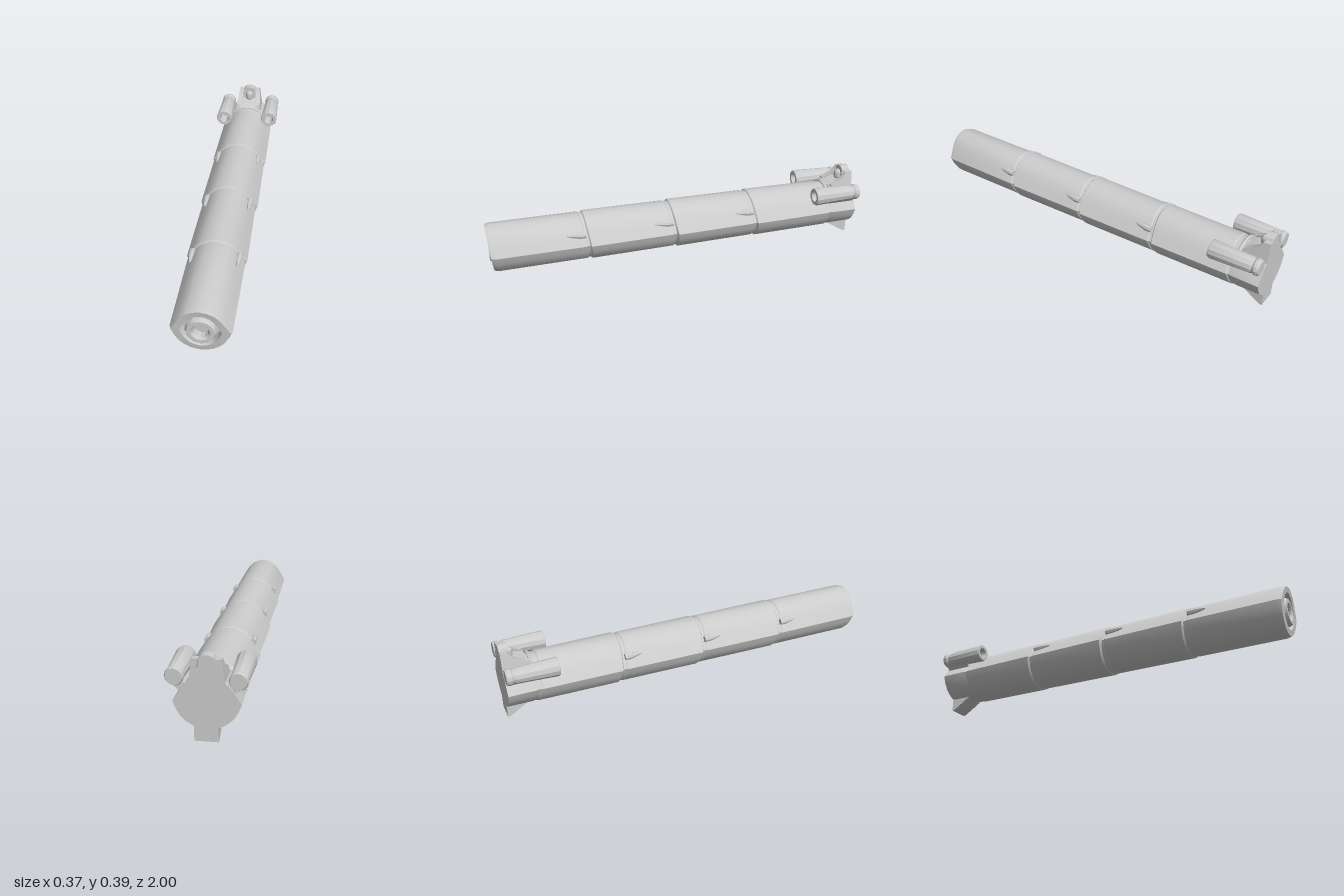
import * as THREE from 'three';
import { toCreasedNormals } from 'three/addons/utils/BufferGeometryUtils.js';

const CX = -0.005, CY = 0.178;

function addMesh(parent, geometry, name, crease = 0.5) {
  const material = new THREE.MeshStandardMaterial({ color: 0xcccccc });
  const mesh = new THREE.Mesh(toCreasedNormals(geometry, crease), material);
  mesh.name = name;
  parent.add(mesh);
  return mesh;
}

// Skin over closed rings ordered from back to front, counter-clockwise from +z, with end caps
function loft(rings) {
  const n = rings[0].length, pos = [];
  const tri = (...pts) => pts.forEach(p => pos.push(p.x, p.y, p.z));
  for (let i = 0; i < rings.length - 1; i++) {
    for (let j = 0; j < n; j++) {
      const k = (j + 1) % n;
      const a = rings[i][j], b = rings[i][k], c = rings[i + 1][k], d = rings[i + 1][j];
      tri(a, b, c);
      tri(a, c, d);
    }
  }
  const cap = (ring, flip) => {
    const mid = ring.reduce((s, p) => s.add(p), new THREE.Vector3()).divideScalar(n);
    for (let j = 0; j < n; j++) {
      const p = ring[j], q = ring[(j + 1) % n];
      if (flip) tri(mid, q, p); else tri(mid, p, q);
    }
  };
  cap(rings[0], true);
  cap(rings[rings.length - 1], false);
  const g = new THREE.BufferGeometry();
  g.setAttribute('position', new THREE.Float32BufferAttribute(pos, 3));
  return g;
}

// Barrel outline: round above and below with a ridge on each side
const half = [[0, 0.127], [0.036, 0.12], [0.07, 0.105], [0.1, 0.075], [0.124, 0.038], [0.147, 0],
  [0.132, -0.04], [0.112, -0.074], [0.086, -0.1], [0.056, -0.118], [0.028, -0.126], [0, -0.13]];
const outline = [...half.slice().reverse(), ...half.slice(1, -1).map(([x, y]) => [-x, y])];
const barrelRing = (z, sx, sy, slant) => outline.map(([x, y]) =>
  new THREE.Vector3(CX + x * sx, CY + y * sy, z + y * sy * slant));

// Solid turned around z; profile is [radius, z] from the back axis to the front axis
function turned(profile, sides) {
  const g = new THREE.LatheGeometry(profile.map(([r, z]) => new THREE.Vector2(r, z)), sides);
  return g.rotateX(Math.PI / 2);
}

// Upright plate outline in [z, y], extruded across x
function plate(points, width) {
  const shape = new THREE.Shape(points.map(([z, y]) => new THREE.Vector2(-z, y)));
  const g = new THREE.ExtrudeGeometry(shape, { depth: width, bevelEnabled: false });
  return g.translate(0, 0, -width / 2).rotateY(Math.PI / 2);
}

export function createModel() {
  const model = new THREE.Group();

  // Barrel: sleeves parted by slanted grooves, with a recess in the front face
  const rings = [barrelRing(-1, 1, 0.93, 0), barrelRing(-0.86, 0.99, 0.95, 0.14)];
  [[-0.845, 1.03], [-0.405, 1.03], [0.04, 1.0], [0.5, 0.99]].forEach(([z, s], i) => {
    const slant = i ? 0.12 : 0.15;
    rings.push(barrelRing(z - 0.008, s * 0.94, 0.94, slant), barrelRing(z + 0.006, s * 0.94, 0.94, slant));
    const end = [-0.42, 0.025, 0.485, 0.965][i];
    rings.push(barrelRing(z + 0.012, s * 0.97, 0.975, slant));
    rings.push(barrelRing(end, i === 3 ? 0.95 : s * 1.01, 1, 0.12));
  });
  rings.push(barrelRing(0.985, 0.9, 0.96, 0.1), barrelRing(0.985, 0.64, 0.73, 0.08));
  rings.push(barrelRing(0.95, 0.58, 0.66, 0));
  addMesh(model, loft(rings), 'barrel');

  // Muzzle ring with a deep bore
  const muzzle = addMesh(model, turned([[0.072, 0.93], [0.072, 0.975], [0.064, 0.99], [0.045, 0.99],
    [0.036, 0.98], [0.03, 0.9], [0, 0.9]], 12), 'muzzle');
  muzzle.position.set(CX, 0.173, 0);

  // Teardrop lugs in front of each groove
  for (const side of [-1, 1]) {
    for (const z of [-0.405, 0.04, 0.5]) {
      const stations = [[0, 0.016, 0.017, 0], [0.03, 0.016, 0.019, 0], [0.07, 0.01, 0.011, 0.003], [0.095, 0.003, 0.003, 0.004]];
      const lug = stations.map(([dz, rx, ry, up]) => Array.from({ length: 8 }, (_, k) => {
        const a = k * Math.PI / 4;
        return new THREE.Vector3(Math.cos(a) * rx, up + Math.sin(a) * ry, dz);
      }));
      const mesh = addMesh(model, loft(lug), side > 0 ? 'leftLug' : 'rightLug');
      mesh.position.set(CX + side * 0.114, 0.232, z + 0.008);
    }
  }

  // Side tubes with a hollow front and a necked knob at the back
  for (const [x, y, name] of [[-0.137, 0.278, 'rightTube'], [0.135, 0.286, 'leftTube']]) {
    const tube = addMesh(model, turned([[0, -1], [0.037, -1], [0.042, -0.99], [0.042, -0.975], [0.036, -0.966],
      [0.04, -0.955], [0.048, -0.75], [0.045, -0.742], [0.028, -0.742], [0.024, -0.765], [0.02, -0.81], [0, -0.81]], 12), name);
    tube.position.set(x, y, 0);
    // Bracket to the barrel
    const bracket = addMesh(model, new THREE.BoxGeometry(0.05, 0.04, 0.14), name + 'Bracket');
    bracket.position.set(x * 0.86, y - 0.034, -0.92);
    bracket.rotation.z = x > 0 ? 0.8 : -0.8;
  }

  // Raised collar under the sight
  const collar = addMesh(model, new THREE.TorusGeometry(0.12, 0.01, 6, 12, 1.6), 'sightCollar');
  collar.position.set(CX, CY, -0.855);
  collar.rotation.z = Math.PI / 2 - 0.8;

  // Rear sight: base, two leaning fins and a rounded centre post
  const sight = new THREE.Group();
  sight.name = 'rearSight';
  sight.position.x = CX;
  model.add(sight);
  addMesh(sight, plate([[-1, 0.25], [-1, 0.325], [-0.93, 0.315], [-0.87, 0.295], [-0.86, 0.25]], 0.13), 'sightBase');
  for (const side of [-1, 1]) {
    const g = plate([[-1, 0.25], [-1, 0.372], [-0.965, 0.37], [-0.94, 0.335], [-0.88, 0.305], [-0.87, 0.25]], 0.026);
    const p = g.attributes.position;
    for (let i = 0; i < p.count; i++) {
      // Fins lean inward toward the top and narrow toward the back
      const lean = (p.getY(i) - 0.25) * 0.15;
      p.setX(i, side * (0.067 - lean) + p.getX(i));
    }
    addMesh(sight, g, side > 0 ? 'leftFin' : 'rightFin');
  }
  const post = new THREE.Shape();
  post.moveTo(-0.036, 0.28);
  post.lineTo(0.036, 0.28);
  post.lineTo(0.034, 0.37);
  post.quadraticCurveTo(0.03, 0.386, 0, 0.389);
  post.quadraticCurveTo(-0.03, 0.386, -0.034, 0.37);
  addMesh(sight, new THREE.ExtrudeGeometry(post, { depth: 0.045, bevelEnabled: false, curveSegments: 4 })
    .translate(0, 0, -1), 'sightPost');
  const bead = addMesh(sight, new THREE.CapsuleGeometry(0.022, 0.016, 4, 10), 'sightBead');
  bead.position.set(0, 0.338, -0.95);

  // Wedge foot below the back end
  const foot = addMesh(model, plate([[-1, 0.1], [-0.89, 0.1], [-0.89, 0.062], [-0.985, 0.002], [-1, 0]], 0.105), 'foot');
  foot.position.x = -0.001;

  return model;
}
